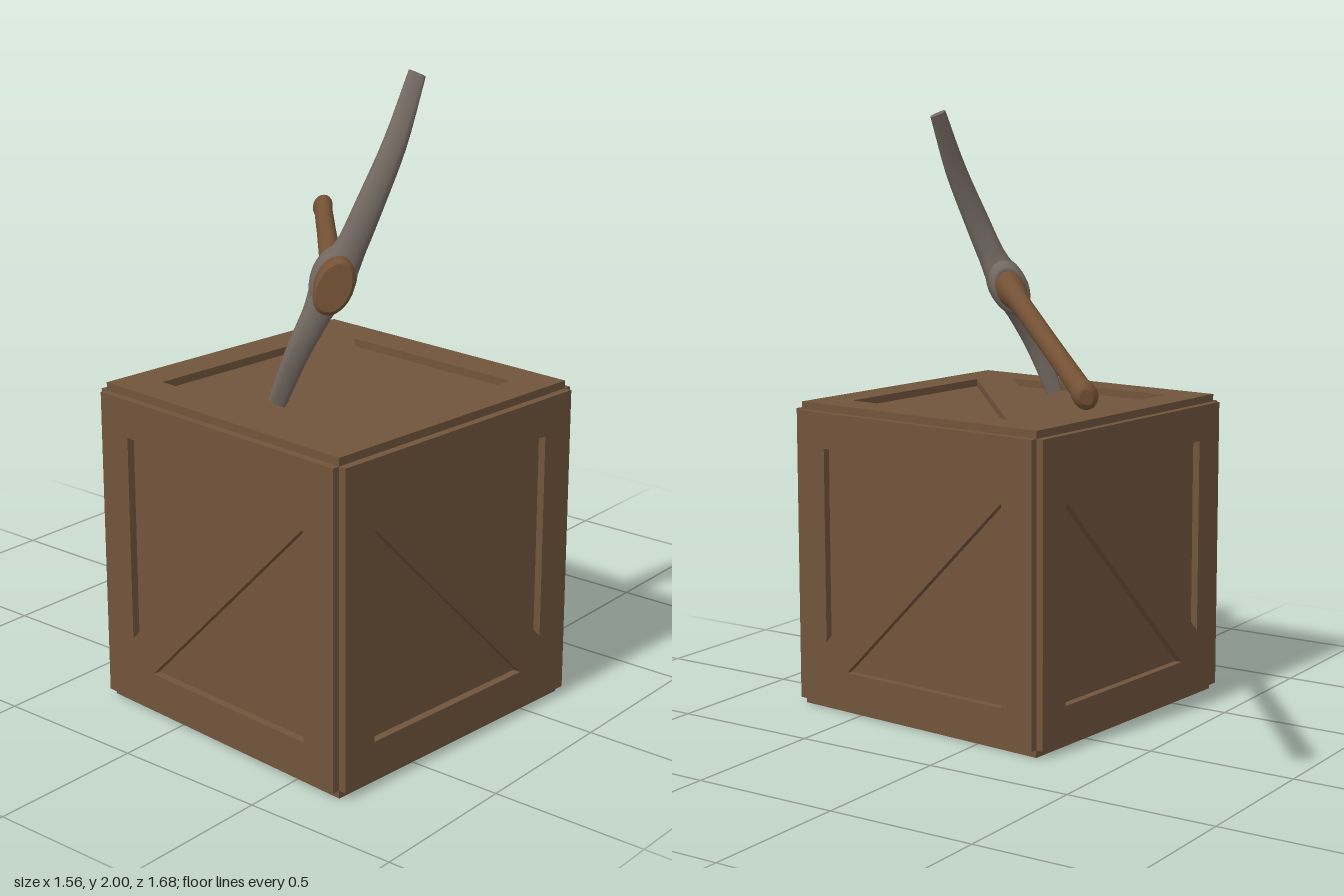
import * as THREE from 'three';

const V = (x, y, z) => new THREE.Vector3(x, y, z);

const crateWood = new THREE.MeshStandardMaterial({ color: 0x70543c });
crateWood.name = 'crateWood';
const handleWood = new THREE.MeshStandardMaterial({ color: 0x755236 });
handleWood.name = 'handleWood';
const metal = new THREE.MeshStandardMaterial({ color: 0x746962 });
metal.name = 'greyMetal';

// Lofts rings { p: centre, a, b: half-axis vectors }; a x b points along the travel. Ends are capped flat.
function loft(rings, sides, power = 1) {
  const pos = [], idx = [];
  const bend = v => Math.sign(v) * Math.abs(v) ** power;
  const addRing = r => {
    for (let j = 0; j < sides; j++) {
      const t = (j / sides) * Math.PI * 2;
      const q = r.p.clone().addScaledVector(r.a, bend(Math.cos(t))).addScaledVector(r.b, bend(Math.sin(t)));
      pos.push(q.x, q.y, q.z);
    }
  };
  rings.forEach(addRing);
  for (let i = 0; i < rings.length - 1; i++) {
    for (let j = 0; j < sides; j++) {
      const k = (j + 1) % sides, a = i * sides, b = a + sides;
      idx.push(a + j, a + k, b + k, a + j, b + k, b + j);
    }
  }
  [rings[0], rings[rings.length - 1]].forEach((r, end) => {
    const start = pos.length / 3;
    addRing(r);
    for (let j = 1; j < sides - 1; j++) {
      if (end) idx.push(start, start + j, start + j + 1);
      else idx.push(start, start + j + 1, start + j);
    }
  });
  const g = new THREE.BufferGeometry();
  g.setAttribute('position', new THREE.Float32BufferAttribute(pos, 3));
  g.setIndex(idx);
  g.computeVertexNormals();
  return g;
}

function part(name, geometry, material) {
  const m = new THREE.Mesh(geometry, material);
  m.name = name;
  return m;
}

// Square board with two triangular openings either side of a diagonal brace
function framePlate(flip) {
  const H = 0.495, o = 0.375, i = 0.283, f = flip ? -1 : 1;
  const shape = new THREE.Shape([[-H, -H], [H, -H], [H, H], [-H, H]].map(p => new THREE.Vector2(...p)));
  for (const s of [1, -1]) {
    const tri = [[-o, o], [i, o], [-o, -i]].map(([x, y]) => new THREE.Vector2(x * s * f, y * s));
    shape.holes.push(new THREE.Path(tri));
  }
  const g = new THREE.ExtrudeGeometry(shape, { depth: 0.025, bevelEnabled: false });
  g.translate(0, 0, 0.495);
  return g;
}

function createCrate() {
  const crate = new THREE.Group();
  crate.name = 'crate';
  crate.add(part('crateCore', new THREE.BoxGeometry(0.99, 0.99, 0.99), crateWood));
  const q = Math.PI / 2;
  const faces = [
    ['frontFrame', 0, 0, false], ['backFrame', 0, 2 * q, false],
    ['plusXFrame', 0, q, true], ['minusXFrame', 0, -q, true],
    ['topFrame', -q, 0, true], ['bottomFrame', q, 0, true],
  ];
  for (const [name, rx, ry, flip] of faces) {
    const plate = part(name, framePlate(flip), crateWood);
    plate.rotation.set(rx, ry, 0);
    crate.add(plate);
  }
  crate.position.set(0.217, 0.52, 0.277);
  crate.rotation.y = THREE.MathUtils.degToRad(-4.8);
  return crate;
}

function createPickaxe() {
  const pick = new THREE.Group();
  pick.name = 'pickaxe';

  // Frame: d runs along the handle, u along the blades, n across both
  const butt = V(-0.745, 1.26, -0.81);
  const d = V(1.16, 0.16, 1.335).normalize();
  const n = d.clone().cross(V(0.22, 0.96, -0.385)).normalize();
  const u = n.clone().cross(d);
  // Oval cross-section at distance s, half height h and half width w
  const oval = ([s, h, w]) => ({
    p: butt.clone().addScaledVector(d, s),
    a: u.clone().multiplyScalar(h),
    b: n.clone().multiplyScalar(w),
  });

  // Handle flares into the head and ends rounded
  const handle = [
    [-0.03, 0.022, 0.018], [-0.024, 0.033, 0.028], [-0.008, 0.041, 0.035], [0.025, 0.042, 0.035],
    [0.06, 0.038, 0.031], [0.6, 0.037, 0.031], [1.2, 0.038, 0.033], [1.34, 0.042, 0.036],
    [1.42, 0.052, 0.042], [1.49, 0.066, 0.048], [1.58, 0.078, 0.053], [1.7, 0.084, 0.055],
    [1.76, 0.088, 0.057], [1.776, 0.085, 0.055], [1.784, 0.074, 0.047],
  ];
  pick.add(part('handle', loft(handle.map(oval), 20), handleWood));

  // Metal collar around the handle
  const collar = [
    [1.518, 0.076, 0.052], [1.522, 0.088, 0.06], [1.55, 0.096, 0.064], [1.6, 0.099, 0.066],
    [1.65, 0.097, 0.066], [1.676, 0.092, 0.064], [1.68, 0.082, 0.056],
  ];
  pick.add(part('collar', loft(collar.map(oval), 24), metal));

  // Curved double blade, tapering to two thin chisel tips
  const path = new THREE.CatmullRomCurve3([
    V(0.198, 1.03, 0.53), V(0.262, 1.2, 0.505), V(0.296, 1.31, 0.46), V(0.318, 1.41, 0.41),
    V(0.36, 1.51, 0.378), V(0.396, 1.63, 0.34), V(0.424, 1.8, 0.26), V(0.42, 1.99, 0.152),
  ]);
  const size = new THREE.CatmullRomCurve3([
    V(0.028, 0.014, 0), V(0.037, 0.036, 0), V(0.044, 0.054, 0), V(0.06, 0.072, 0),
    V(0.046, 0.056, 0), V(0.042, 0.047, 0), V(0.036, 0.034, 0), V(0.027, 0.01, 0),
  ]);
  const rings = [];
  for (let i = 0; i <= 28; i++) {
    const t = i / 28, s = size.getPoint(t);
    rings.push({
      p: path.getPoint(t),
      a: n.clone().multiplyScalar(s.x),
      b: path.getTangent(t).cross(n).normalize().multiplyScalar(s.y),
    });
  }
  pick.add(part('blade', loft(rings, 16, 0.75), metal));
  return pick;
}

export function createModel() {
  const model = new THREE.Group();
  model.name = 'crateWithPickaxe';
  model.add(createCrate(), createPickaxe());
  return model;
}
